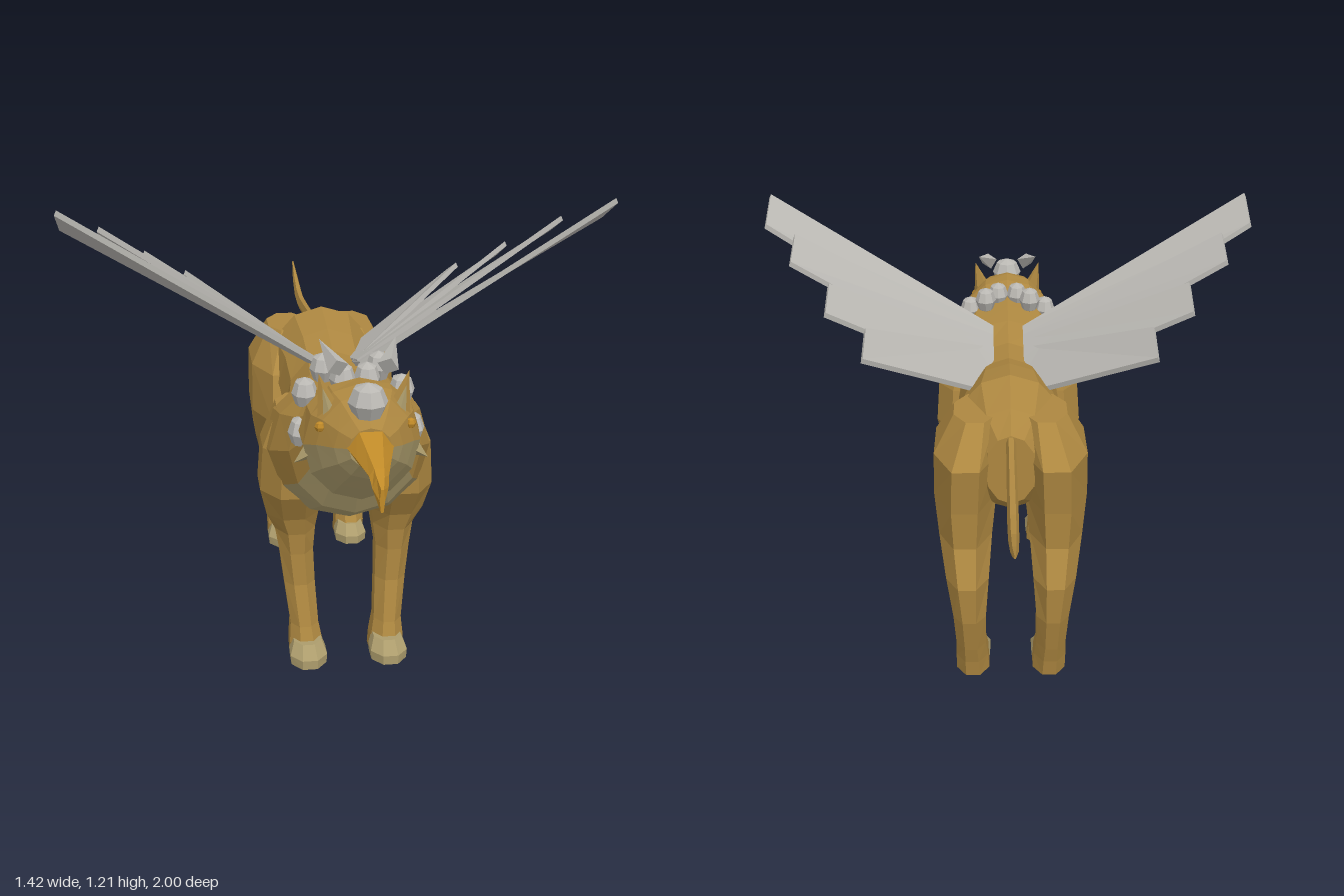
import * as THREE from 'three';

const mat = (name, color) => {
  const m = new THREE.MeshStandardMaterial({ color });
  m.name = name;
  return m;
};

export function createModel() {
  const root = new THREE.Group();
  root.name = 'wingedBeast';
  const fur = mat('tawny fur', 0xad8740);
  const cream = mat('cream fur', 0xac9c6c);
  const plume = mat('pale feathers', 0xbab8b3);
  const beakMat = mat('orange beak', 0xc08a28);
  const V = (x, y, z) => new THREE.Vector3(x, y, z);

  const add = (name, geo, material, parent = root) => {
    const g = geo.index ? geo.toNonIndexed() : geo;
    g.computeVertexNormals(); // faceted normals
    const m = new THREE.Mesh(g, material);
    m.name = name;
    parent.add(m);
    return m;
  };

  // Skin closed rings of points; pick(i, j) gives the material of each quad
  const loft = (rings, pick = () => 0) => {
    const n = rings[0].length;
    const tris = [[], []];
    const quad = (k, a, b, c, d) => tris[k].push([a, b, c], [a, c, d]);
    for (let i = 0; i < rings.length - 1; i++)
      for (let j = 0; j < n; j++) {
        const q = (j + 1) % n;
        quad(pick(i, j), rings[i][j], rings[i][q], rings[i + 1][q], rings[i + 1][j]);
      }
    [0, rings.length - 1].forEach((e) => {
      const r = rings[e];
      const c = r.reduce((s, p) => s.add(p), V(0, 0, 0)).divideScalar(n);
      for (let j = 0; j < n; j++) {
        const q = (j + 1) % n;
        tris[pick(Math.min(e, rings.length - 2), j)].push(e ? [c, r[j], r[q]] : [c, r[q], r[j]]);
      }
    });
    // turn the surface outward if its volume is negative
    let vol = 0;
    const centre = rings[0][0];
    tris.flat().forEach(([a, b, c]) => {
      const [p, q, r] = [a, b, c].map((v) => v.clone().sub(centre));
      vol += p.dot(q.cross(r));
    });
    const pos = [];
    const geo = new THREE.BufferGeometry();
    tris.forEach((list, k) => {
      if (list.length) geo.addGroup(pos.length / 3, list.length * 3, k);
      list.forEach((t) => (vol < 0 ? [t[0], t[2], t[1]] : t).forEach((v) => pos.push(v.x, v.y, v.z)));
    });
    geo.setAttribute('position', new THREE.Float32BufferAttribute(pos, 3));
    return geo;
  };
  // Upright ring across z: [z, bottom, top, halfWidth]
  const across = (n) => ([z, b, t, w]) => Array.from({ length: n }, (_, j) => {
    const a = (j / n) * Math.PI * 2;
    return V(w * Math.cos(a), (b + t) / 2 + ((t - b) / 2) * Math.sin(a), z);
  });
  // Level ring: [y, x, z, rx, rz]
  const level = (s) => ([y, x, z, rx, rz]) => Array.from({ length: 8 }, (_, j) => {
    const a = ((j + 0.5) / 8) * Math.PI * 2;
    return V(s * (x + rx * 1.06 * Math.cos(a)), y, z + rz * 1.06 * Math.sin(a));
  });

  // Torso, with a cream belly and chest
  const torso = [
    [-0.34, 0.53, 0.73, 0.07], [-0.25, 0.47, 0.77, 0.13], [-0.12, 0.46, 0.815, 0.16],
    [0.03, 0.47, 0.79, 0.14], [0.15, 0.44, 0.76, 0.135], [0.28, 0.395, 0.76, 0.155],
    [0.4, 0.39, 0.79, 0.215], [0.5, 0.42, 0.805, 0.205], [0.6, 0.475, 0.82, 0.165], [0.65, 0.56, 0.83, 0.13],
  ];
  add('torso', loft(torso.map(across(12)), (i, j) =>
    ((i === 3 || i === 4) && j >= 6) || (i >= 7 && j >= 7 && j <= 10) ? 1 : 0), [fur, cream]);

  // Head, with cream cheeks and chin
  const head = [
    [0.58, 0.58, 0.82, 0.12], [0.645, 0.59, 0.845, 0.145], [0.7, 0.555, 0.85, 0.14],
    [0.75, 0.6, 0.84, 0.115], [0.8, 0.65, 0.81, 0.08], [0.83, 0.69, 0.785, 0.05],
  ];
  add('head', loft(head.map(across(12)), (i, j) => (i >= 1 && j >= 6 ? 1 : 0)), [fur, cream]);

  // Hooked beak
  const beak = [
    [0.81, 0.69, 0.79, 0.058], [0.88, 0.7, 0.765, 0.04], [0.95, 0.7, 0.74, 0.022],
    [0.97, 0.67, 0.73, 0.018], [0.998, 0.65, 0.712, 0.006],
  ];
  add('beak', loft(beak.map(across(6))), beakMat);

  // Feather tufts
  const tuft = (name, x, y, z, rx, ry, rz) => {
    const m = add(name, new THREE.SphereGeometry(1, 8, 4), plume);
    m.position.set(x, y, z);
    m.scale.set(rx, ry, rz);
  };
  tuft('crownTuft', 0, 0.832, 0.782, 0.047, 0.046, 0.055);

  // Tail, in rings along a curve
  const tail = [
    [-0.28, 0.715, 0.022], [-0.42, 0.7, 0.02], [-0.56, 0.685, 0.021], [-0.7, 0.672, 0.022],
    [-0.8, 0.677, 0.02], [-0.9, 0.705, 0.015], [-1, 0.748, 0.004],
  ];
  add('tail', loft(tail.map(([z, y, r]) => across(6)([z, y - r, y + r, r * 0.65]))), fur);

  const foreleg = [
    [0.7, 0.12, 0.4, 0.06, 0.09], [0.6, 0.14, 0.4, 0.08, 0.12], [0.48, 0.145, 0.39, 0.083, 0.125],
    [0.4, 0.14, 0.38, 0.07, 0.085], [0.35, 0.132, 0.36, 0.055, 0.09], [0.29, 0.13, 0.382, 0.046, 0.062],
    [0.2, 0.123, 0.396, 0.042, 0.05], [0.09, 0.113, 0.424, 0.038, 0.052], [0.04, 0.11, 0.435, 0.045, 0.062],
    [0, 0.108, 0.435, 0.046, 0.06],
  ];
  const hindleg = [
    [0.75, 0.095, -0.2, 0.06, 0.1], [0.65, 0.12, -0.19, 0.09, 0.21], [0.52, 0.125, -0.16, 0.088, 0.225],
    [0.41, 0.125, -0.215, 0.075, 0.165], [0.31, 0.12, -0.312, 0.06, 0.115], [0.2, 0.115, -0.352, 0.046, 0.068],
    [0.1, 0.112, -0.333, 0.042, 0.065], [0.05, 0.11, -0.31, 0.046, 0.075], [0, 0.108, -0.305, 0.047, 0.072],
  ];
  // Feathers: tip x, tip front [y, z], tip rear [y, z], root front [y, z], root rear [y, z]
  const feathers = [
    [0.71, 1.205, 0.355, 1.145, 0.24, 0.79, 0.35, 0.735, 0.17],
    [0.62, 1.13, 0.19, 1.08, 0.08, 0.78, 0.3, 0.73, 0.11],
    [0.51, 1.03, 0.035, 0.98, -0.07, 0.77, 0.27, 0.72, 0.06],
    [0.4, 0.943, -0.09, 0.897, -0.205, 0.76, 0.24, 0.71, 0.01],
  ];

  for (const s of [1, -1]) {
    const side = s > 0 ? 'left' : 'right';
    // Legs and toes
    add(side + 'Foreleg', loft(foreleg.map(level(s))), fur);
    add(side + 'Hindleg', loft(hindleg.map(level(s))), fur);
    for (const z of [0.455, -0.285])
      add(side + 'Toes', loft([[0.055, 0.108, z + 0.01, 0.038, 0.045], [0.025, 0.108, z + 0.03, 0.05, 0.058],
        [0, 0.108, z + 0.03, 0.048, 0.058]].map(level(s))), cream);

    // Wing of four overlapping feathers
    const wing = new THREE.Group();
    wing.name = side + 'Wing';
    root.add(wing);
    for (const [x, y1, z1, y2, z2, ry1, rz1, ry2, rz2] of feathers) {
      const plate = (px, fy, fz, by, bz) => [
        V(s * px, fy, fz), V(s * px, by, bz),
        V(s * (px + 0.006), by - 0.013, bz), V(s * (px + 0.006), fy - 0.013, fz)];
      add('feather', loft([plate(0.045, ry1, rz1, ry2, rz2), plate(x - 0.006, y1, z1, y2, z2)]), plume, wing);
    }

    // Mane tufts
    [[0.07, 0.825, 0.5], [0.03, 0.82, 0.57], [0.12, 0.78, 0.55], [0.135, 0.7, 0.605]].forEach(([x, y, z]) =>
      tuft(side + 'ManeTuft', s * x, y, z, 0.033, 0.04, 0.045));

    // Swept-back crest spike
    const dir = V(s * 0.035, 0.045, -0.1);
    const spike = add(side + 'CrestSpike', new THREE.ConeGeometry(0.026, 0.11, 4), plume);
    spike.position.set(s * 0.075, 0.912, 0.66);
    spike.quaternion.setFromUnitVectors(V(0, 1, 0), dir.normalize());

    // Ear with a cream inner face
    const ear = new THREE.Group();
    ear.name = side + 'Ear';
    ear.position.set(s * 0.092, 0.83, 0.72);
    ear.rotation.z = -s * 0.25;
    root.add(ear);
    add('earShell', new THREE.ConeGeometry(0.034, 0.11, 5), fur, ear).scale.z = 0.6;
    const inner = add('innerEar', new THREE.ConeGeometry(0.018, 0.07, 5), cream, ear);
    inner.position.set(0, -0.012, 0.014);
    inner.scale.z = 0.5;

    // Cheek ruff point
    const ruff = add(side + 'CheekRuff', new THREE.ConeGeometry(0.04, 0.09, 4), cream);
    ruff.position.set(s * 0.125, 0.68, 0.69);
    ruff.rotation.z = -s * 2.2;

    // Eye
    const eye = add(side + 'Eye', new THREE.SphereGeometry(0.013, 6, 4), beakMat);
    eye.position.set(s * 0.106, 0.765, 0.752);
  }
  return root;
}
